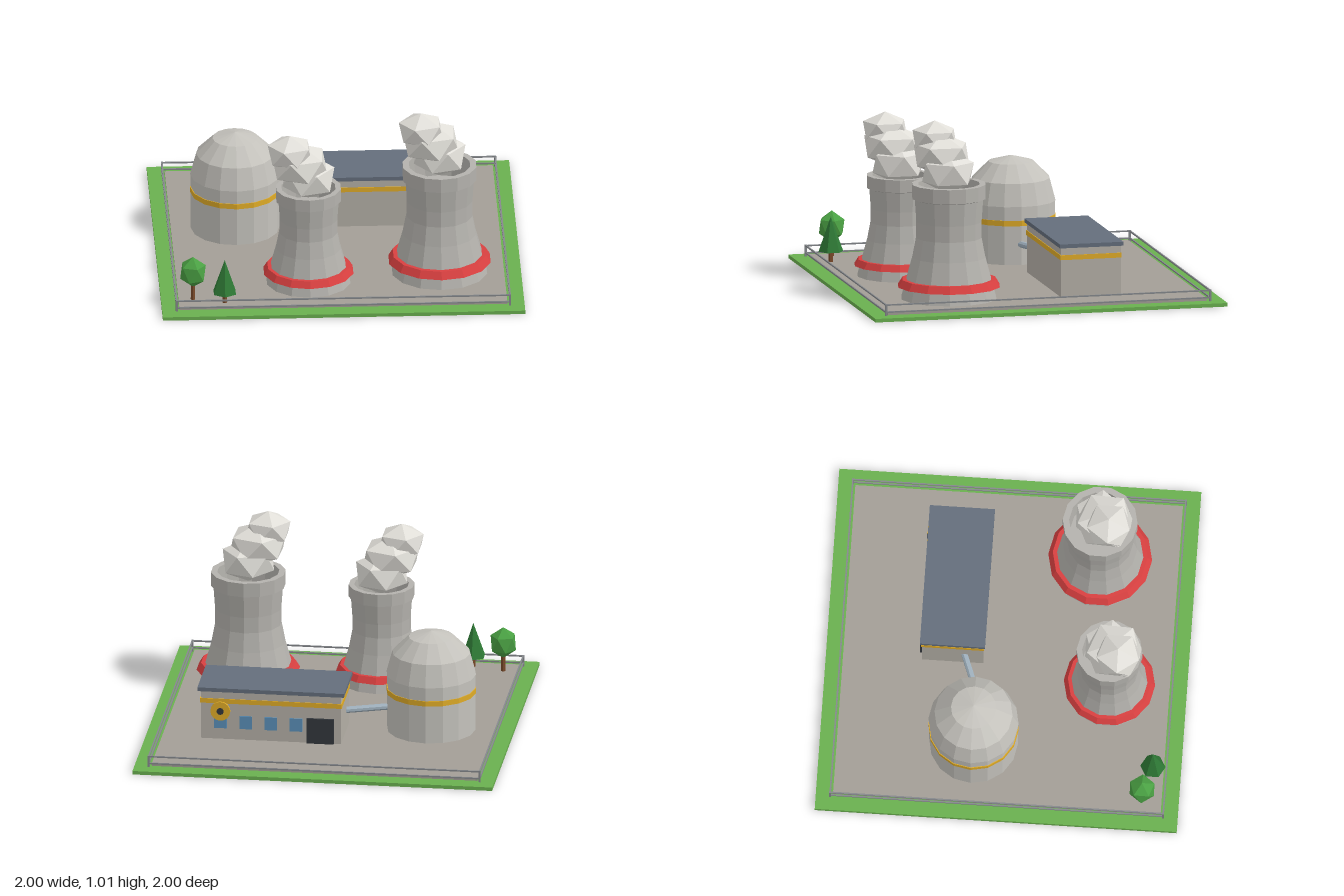
import * as THREE from 'three';

const COLORS = {
  grass: 0x6ab04f, slab: 0xa39e96, concrete: 0xb4b2ad, dome: 0xc4c2bc, smoke: 0xe0ded8, red: 0xd84040,
  yellow: 0xe0ac28, wall: 0xb4afa6, roof: 0x646e7c, glass: 0x5a8fb8, dark: 0x33373c,
  steel: 0x9fb0bd, fence: 0x85888c, trunk: 0x7a4a2a, leaf: 0x4aa043, pine: 0x2f7a36,
};
const materials = {};
for (const key in COLORS) {
  materials[key] = new THREE.MeshStandardMaterial({ color: COLORS[key], flatShading: true });
}

const GROUND = 0.035; // top of the concrete slab

function add(parent, name, geometry, color, x = 0, y = 0, z = 0) {
  const mesh = new THREE.Mesh(geometry, materials[color]);
  mesh.name = name;
  mesh.position.set(x, y, z);
  parent.add(mesh);
  return mesh;
}

function group(parent, name, x = 0, y = 0, z = 0) {
  const g = new THREE.Group();
  g.name = name;
  g.position.set(x, y, z);
  parent.add(g);
  return g;
}

const box = (w, h, d) => new THREE.BoxGeometry(w, h, d);
const lathe = (points, sides) =>
  new THREE.LatheGeometry(points.map(([r, y]) => new THREE.Vector2(r, y)), sides);

// Icosahedron standing on a vertex, squashed to the given radii
function blob(rx, ry, turn) {
  return new THREE.IcosahedronGeometry(1, 0)
    .rotateX(-Math.atan2((1 + Math.sqrt(5)) / 2, 1))
    .rotateY(turn)
    .scale(rx, ry, rx);
}

// Hollow cooling tower with collar, red band and drifting smoke
function addTower(root, x, z, s) {
  const tower = group(root, 'coolingTower', x, GROUND, z);
  const shell = lathe([
    [0.268, 0], [0.238, 0.11], [0.205, 0.23], [0.184, 0.34], [0.184, 0.43], [0.193, 0.555],
    [0.207, 0.56], [0.207, 0.64], [0.172, 0.64], [0.165, 0.5], [0, 0.5],
  ], 14);
  add(tower, 'towerShell', shell.scale(s, s, s), 'concrete');
  const band = lathe([[0.235, 0.068], [0.287, 0.068], [0.262, 0.108], [0.225, 0.108]], 14);
  add(tower, 'redBand', band.scale(s, s, s), 'red');

  const smoke = group(tower, 'smoke', 0, 0.64 * s, 0);
  const puffs = [
    [0, 0.065, 0.005, 0.16, 0.125, 0.3],
    [-0.05, 0.155, 0.03, 0.172, 0.12, 0.9],
    [-0.105, 0.237, 0.055, 0.137, 0.1, -Math.PI / 2],
  ];
  for (const [px, py, pz, rx, ry, turn] of puffs) {
    add(smoke, 'smokePuff', blob(rx, ry, turn), 'smoke', px, py, pz);
  }
}

// Domed reactor with a yellow stripe
function addReactor(root) {
  const reactor = group(root, 'reactor', -0.55, 0, -0.153);
  add(reactor, 'reactorWall', new THREE.CylinderGeometry(0.245, 0.245, 0.325, 16), 'dome', 0, GROUND + 0.1625, 0);
  add(reactor, 'reactorDome',
    new THREE.SphereGeometry(0.249, 16, 3, 0, Math.PI * 2, 0, Math.PI / 2), 'dome', 0, 0.36, 0);
  add(reactor, 'reactorStripe', new THREE.CylinderGeometry(0.249, 0.249, 0.03, 16), 'yellow', 0, 0.268, 0);
}

// Long hall with flat roof; openings face the rear
function addHall(root) {
  const hall = group(root, 'turbineHall', 0.3, 0, -0.3);
  const back = -0.172;
  add(hall, 'hallWalls', box(0.78, 0.28, 0.34), 'wall', 0, GROUND + 0.14, 0);
  add(hall, 'hallStripe', box(0.788, 0.027, 0.348), 'yellow', 0, 0.257, 0);
  add(hall, 'hallRoof', box(0.815, 0.022, 0.36), 'roof', 0, 0.323, 0);
  for (let i = 0; i < 4; i++) {
    add(hall, 'window', box(0.07, 0.075, 0.01), 'glass', 0.28 - i * 0.14, 0.137, back);
  }
  add(hall, 'door', box(0.15, 0.145, 0.022), 'dark', -0.275, GROUND + 0.0725, back);

  const sign = group(hall, 'roundSign', 0.28, 0.2, back - 0.003);
  add(sign, 'signDisc', new THREE.CylinderGeometry(0.055, 0.055, 0.016, 16).rotateX(Math.PI / 2), 'yellow');
  add(sign, 'signCentre', new THREE.CylinderGeometry(0.02, 0.02, 0.022, 10).rotateX(Math.PI / 2), 'dark');
}

// Pipe from reactor to hall
function addPipe(root) {
  const from = new THREE.Vector3(-0.34, 0.15, -0.14);
  const to = new THREE.Vector3(-0.06, 0.15, -0.245);
  const dir = to.clone().sub(from);
  const pipe = add(root, 'connectingPipe', new THREE.CylinderGeometry(0.018, 0.018, dir.length(), 8), 'steel');
  pipe.position.copy(from).add(to).multiplyScalar(0.5);
  pipe.quaternion.setFromUnitVectors(new THREE.Vector3(0, 1, 0), dir.normalize());
}

// Two rails on each side and a post at each corner
function addFence(root) {
  const fence = group(root, 'fence');
  const e = 0.92;
  for (const side of [-1, 1]) {
    for (const y of [0.04, 0.08]) {
      add(fence, 'rail', box(2 * e, 0.008, 0.008), 'fence', 0, y, side * e);
      add(fence, 'rail', box(0.008, 0.008, 2 * e), 'fence', side * e, y, 0);
    }
    for (const end of [-1, 1]) {
      add(fence, 'fencePost', box(0.011, 0.065, 0.011), 'fence', side * e, 0.0525, end * e);
    }
  }
}

function addTrees(root) {
  const round = group(root, 'roundTree', -0.825, GROUND, 0.797);
  add(round, 'trunk', new THREE.CylinderGeometry(0.012, 0.014, 0.11, 6), 'trunk', 0, 0.055, 0);
  add(round, 'crown', blob(0.079, 0.09, 0.3), 'leaf', 0, 0.165, 0);

  const pine = group(root, 'pineTree', -0.652, GROUND, 0.845);
  add(pine, 'trunk', new THREE.CylinderGeometry(0.012, 0.014, 0.08, 6), 'trunk', 0, 0.04, 0);
  add(pine, 'crown', new THREE.ConeGeometry(0.07, 0.195, 6), 'pine', 0, 0.157, 0);
}

export function createModel() {
  const root = new THREE.Group();
  root.name = 'powerStation';
  add(root, 'grassBase', box(2, 0.02, 2), 'grass', 0, 0.01, 0);
  add(root, 'concreteSlab', box(1.81, 0.017, 1.81), 'slab', 0, GROUND - 0.0085, 0);
  addTower(root, 0.55, 0.472, 1);
  addTower(root, -0.178, 0.573, 0.88);
  addReactor(root);
  addHall(root);
  addPipe(root);
  addFence(root);
  addTrees(root);
  return root;
}
